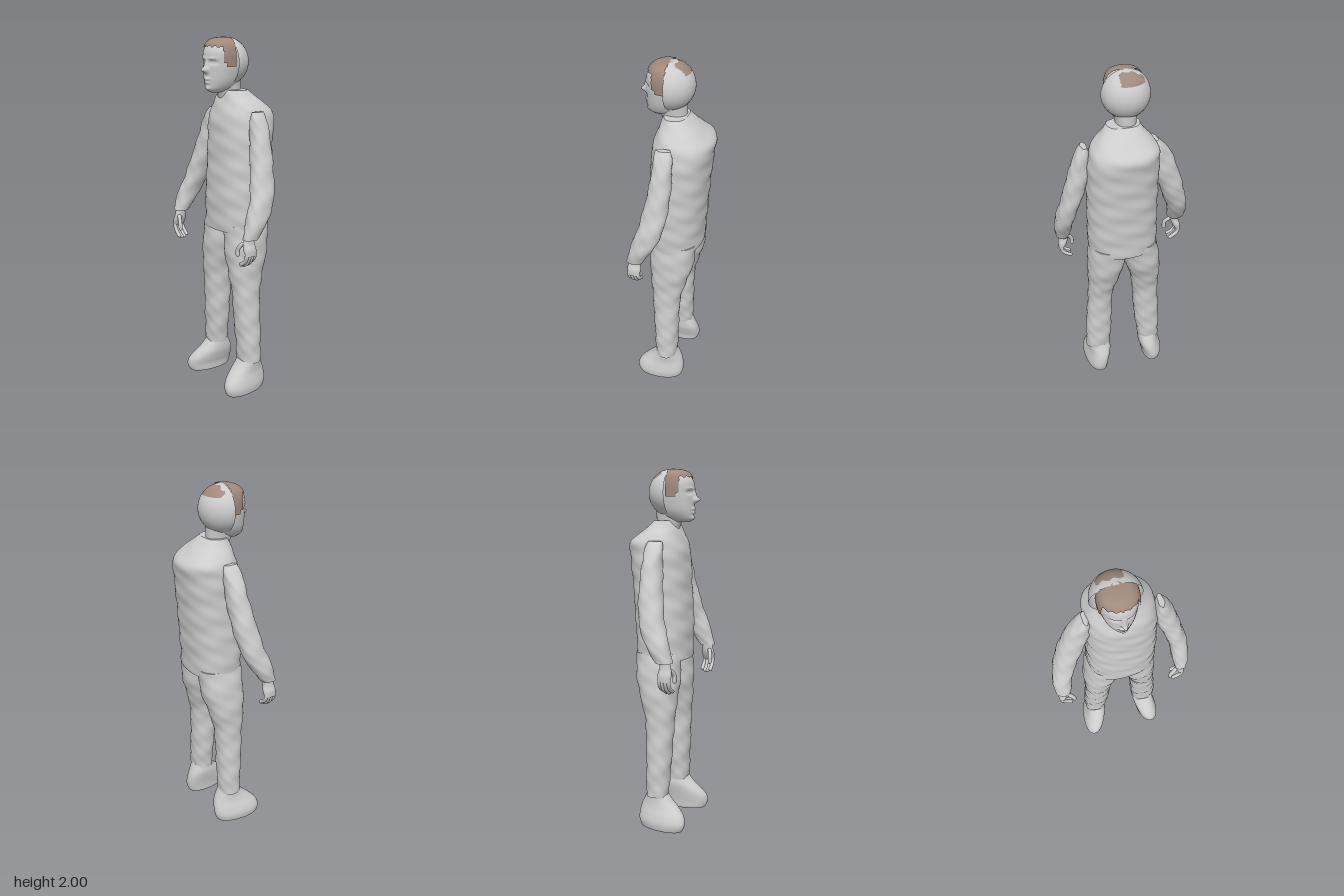
import * as THREE from 'three';

const grey = new THREE.MeshStandardMaterial({ color: 0xcccccc, side: THREE.DoubleSide });
grey.name = 'plain grey';
const brown = new THREE.MeshStandardMaterial({ color: 0x9f8a7c, side: THREE.DoubleSide });
brown.name = 'hair brown';

// Smooth blend through the sections, component by component
function blend(sections, u) {
  const n = sections.length - 1;
  const i = Math.min(Math.floor(u * n), n - 1), t = u * n - i;
  const at = k => sections[Math.max(0, Math.min(n, k))];
  return at(i).map((p1, k) => {
    const p0 = at(i - 1)[k], p2 = at(i + 1)[k], p3 = at(i + 2)[k];
    return p1 + 0.5 * t * (p2 - p0 + t * (2 * p0 - 5 * p1 + 4 * p2 - p3 + t * (3 * (p1 - p2) + p3 - p0)));
  });
}

// Loft through horizontal sections [y, xMin, xMax, zMin, zMax], listed upwards
function loft(name, sections, { power = 2.2, segs = 40, rows = 40, warp, keep, material = grey } = {}) {
  const pos = [], index = [], v = new THREE.Vector3();
  for (let i = 0; i <= rows; i++) {
    const [y, x0, x1, z0, z1] = blend(sections, i / rows);
    for (let j = 0; j < segs; j++) {
      const a = j / segs * Math.PI * 2, c = Math.cos(a), s = Math.sin(a);
      v.set((x0 + x1) / 2 + Math.abs(x1 - x0) / 2 * Math.sign(c) * Math.abs(c) ** (2 / power), y,
        (z0 + z1) / 2 + (z1 - z0) / 2 * Math.sign(s) * Math.abs(s) ** (2 / power));
      if (warp) warp(v, a);
      pos.push(v.x, v.y, v.z);
    }
  }
  const kept = ids => !keep || ids.every(k => keep(pos[k * 3], pos[k * 3 + 1], pos[k * 3 + 2]));
  for (let i = 0; i < rows; i++) for (let j = 0; j < segs; j++) {
    const a = i * segs + j, b = i * segs + (j + 1) % segs, c = a + segs, d = b + segs;
    if (kept([a, b, c, d])) index.push(a, c, b, b, c, d);
  }
  // End caps with their own corners, so the rims stay crisp
  for (const row of [0, rows]) {
    const start = pos.length / 3, mid = [0, 0, 0];
    for (let j = 0; j < segs; j++) for (let k = 0; k < 3; k++) {
      const p = pos[(row * segs + j) * 3 + k];
      pos.push(p);
      mid[k] += p / segs;
    }
    pos.push(...mid);
    if (!kept([start + segs])) continue;
    for (let j = 0; j < segs; j++) {
      const a = start + j, b = start + (j + 1) % segs;
      if (row) index.push(a, start + segs, b); else index.push(a, b, start + segs);
    }
  }
  const g = new THREE.BufferGeometry();
  g.setAttribute('position', new THREE.Float32BufferAttribute(pos, 3));
  g.setIndex(index);
  g.computeVertexNormals();
  const m = new THREE.Mesh(g, material);
  m.name = name;
  return m;
}

// Soft cloth folds
function folds(v, a) {
  const f = 0.0018 * Math.sin(v.y * 43 + 2 * a) + 0.0014 * Math.sin(v.y * 71 - 5 * a);
  v.x += f * Math.cos(a);
  v.z += f * Math.sin(a);
}

// Facial relief: [x, y, depth, width, height]
const relief = [
  [-0.003, 1.833, 0.032, 0.014, 0.014], [-0.005, 1.86, 0.016, 0.010, 0.025],
  [-0.045, 1.872, -0.013, 0.020, 0.011], [0.035, 1.872, -0.013, 0.020, 0.011],
  [-0.045, 1.871, 0.006, 0.011, 0.005], [0.035, 1.871, 0.006, 0.011, 0.005],
  [-0.04, 1.893, 0.006, 0.025, 0.006], [0.03, 1.893, 0.006, 0.025, 0.006],
  [-0.005, 1.786, 0.013, 0.024, 0.007], [-0.005, 1.767, 0.011, 0.020, 0.006],
  [-0.005, 1.735, 0.010, 0.022, 0.012],
];
function faceRelief(v) {
  if (v.z < 0.07) return;
  let dz = 0;
  for (const [x, y, d, w, h] of relief) dz += d * Math.exp(-(((v.x - x) / w) ** 2) - ((v.y - y) / h) ** 2);
  v.z += dz;
}

function buildHead() {
  const head = new THREE.Group();
  head.name = 'head';
  const skull = [
    [1.715, -0.035, 0.02, 0.05, 0.14], [1.735, -0.06, 0.045, 0.0, 0.162], [1.775, -0.085, 0.066, -0.03, 0.167],
    [1.83, -0.098, 0.079, -0.05, 0.168], [1.87, -0.102, 0.083, -0.055, 0.168], [1.92, -0.103, 0.084, -0.05, 0.166],
    [1.955, -0.093, 0.073, -0.035, 0.148], [1.98, -0.066, 0.046, -0.005, 0.115], [1.988, -0.03, 0.01, 0.03, 0.07],
  ];
  head.add(loft('face', skull, { segs: 112, rows: 80, warp: faceRelief }));
  head.add(loft('neck', [
    [1.64, -0.06, 0.05, -0.04, 0.07], [1.69, -0.058, 0.046, -0.045, 0.085],
    [1.73, -0.062, 0.048, -0.045, 0.098], [1.79, -0.07, 0.055, -0.045, 0.1],
  ]));

  // Rounded shell over the back of the head
  const shell = new THREE.Mesh(new THREE.SphereGeometry(0.128, 40, 32, Math.PI, Math.PI), grey);
  shell.name = 'backOfHead';
  shell.rotation.y = Math.PI;
  // Keep the half that bulges backwards
  shell.geometry.computeBoundingBox();
  if (shell.geometry.boundingBox.max.z > 0.06) shell.rotation.y = Math.PI;
  else shell.rotation.y = 0;
  shell.position.set(-0.013, 1.871, 0.045);
  head.add(shell);

  // Front hair with fringe and sideburns
  const hair = skull.slice(2).map(([y, x0, x1, z0, z1]) =>
    [y + (y > 1.95 ? 0.01 : 0), x0 - 0.008, x1 + 0.008, z0, z1 + 0.003]);
  head.add(loft('frontHair', hair, {
    segs: 112, rows: 80, material: brown,
    keep: (x, y, z) => z > 0.042 && y > (z > 0.12 ? 1.95 + 0.005 * Math.sin(x * 190) : z > 0.1 ? 1.87 : 1.85),
  }));
  // Crown patch over the shell
  const crown = [];
  for (let i = 0; i <= 12; i++) {
    const a = Math.PI * (0.02 + 0.28 * (1 - i / 12)), r = 0.13 * Math.sin(a);
    crown.push([1.87 + 0.13 * Math.cos(a), -0.013 - r, -0.013 + r, 0.045 - r, 0.045 + r]);
  }
  head.add(loft('crownHair', crown, {
    power: 2, segs: 80, material: brown,
    keep: (x, y, z) => x > -0.1 && x < 0.036 && y > 1.945 && z < 0.012 + 0.006 * Math.sin(x * 120),
  }));
  return head;
}

// A rounded finger along a curve
function finger(name, points, radius) {
  const g = new THREE.Group();
  g.name = name;
  const curve = new THREE.CatmullRomCurve3(points.map(p => new THREE.Vector3(...p)));
  g.add(new THREE.Mesh(new THREE.TubeGeometry(curve, 12, radius, 10), grey));
  const tip = new THREE.Mesh(new THREE.SphereGeometry(radius, 10, 8), grey);
  tip.position.copy(points.length ? curve.getPoint(1) : tip.position);
  g.add(tip);
  return g;
}

// side is +1 for the model's left, -1 for its right
function buildHand(side) {
  const hand = new THREE.Group();
  hand.name = side > 0 ? 'leftHand' : 'rightHand';
  hand.add(loft('palm', [
    [0.895, side * 0.345, side * 0.372, 0.108, 0.172], [0.93, side * 0.325, side * 0.372, 0.102, 0.178],
    [0.965, side * 0.315, side * 0.362, 0.108, 0.172], [1.02, side * 0.315, side * 0.36, 0.112, 0.158],
  ], { segs: 24, rows: 16 }));
  for (let i = 0; i < 4; i++) {
    const z = 0.115 + i * 0.017, drop = [0.012, 0.002, 0, 0.008][i];
    hand.add(finger('finger', [[side * 0.357, 0.92, z], [side * 0.355, 0.885, z],
      [side * 0.337, 0.85 + drop, z], [side * 0.308, 0.832 + drop, z + 0.002]], 0.0105));
  }
  hand.add(finger('thumb', [[side * 0.335, 0.965, 0.15], [side * 0.305, 0.945, 0.165],
    [side * 0.288, 0.92, 0.172], [side * 0.286, 0.89, 0.172]], 0.0115));
  hand.position.x = side > 0 ? -0.008 : -0.004;
  return hand;
}

export function createModel() {
  const model = new THREE.Group();
  model.name = 'standingMan';
  model.add(buildHead(), buildHand(1), buildHand(-1));

  model.add(loft('shirt', [
    [0.96, -0.172, 0.215, -0.15, 0.14], [1.08, -0.173, 0.218, -0.158, 0.142], [1.2, -0.17, 0.218, -0.166, 0.14],
    [1.32, -0.168, 0.217, -0.175, 0.133], [1.44, -0.168, 0.216, -0.185, 0.128], [1.54, -0.168, 0.212, -0.195, 0.122],
    [1.605, -0.162, 0.198, -0.197, 0.11], [1.65, -0.132, 0.168, -0.15, 0.096], [1.69, -0.1, 0.13, -0.1, 0.08],
    [1.725, -0.08, 0.1, -0.055, 0.065],
  ], { power: 2.35, segs: 64, rows: 90, warp: folds }));

  // Sleeves
  model.add(loft('rightSleeve', [
    [0.995, -0.387, -0.295, 0.092, 0.176], [1.08, -0.387, -0.28, 0.03, 0.155], [1.18, -0.367, -0.245, -0.015, 0.12],
    [1.3, -0.335, -0.2, -0.038, 0.092], [1.42, -0.295, -0.155, -0.045, 0.07], [1.52, -0.255, -0.135, -0.045, 0.058],
    [1.58, -0.212, -0.135, -0.042, 0.052], [1.615, -0.175, -0.148, -0.035, 0.045],
  ], { rows: 60, warp: folds }));
  model.add(loft('leftSleeve', [
    [0.985, 0.302, 0.376, 0.092, 0.176], [1.08, 0.29, 0.387, 0.03, 0.155], [1.18, 0.275, 0.378, -0.015, 0.12],
    [1.3, 0.24, 0.348, -0.038, 0.092], [1.42, 0.205, 0.32, -0.045, 0.07], [1.52, 0.195, 0.29, -0.045, 0.058],
    [1.58, 0.195, 0.268, -0.042, 0.052], [1.625, 0.208, 0.237, -0.035, 0.045],
  ], { rows: 60, warp: folds }));

  // Trousers
  const legDepth = [[0.19, -0.047, 0.077], [0.3, -0.05, 0.082], [0.42, -0.052, 0.09], [0.6, -0.06, 0.1],
    [0.72, -0.088, 0.112], [0.85, -0.125, 0.122], [1.0, -0.138, 0.12]];
  const trouser = (name, widths) => loft(name, legDepth.map(([y, ...z], i) => [y, ...widths[i], ...z]),
    { rows: 70, warp: folds });
  model.add(trouser('rightTrouserLeg', [[-0.217, -0.088], [-0.217, -0.072], [-0.213, -0.06], [-0.203, -0.05],
    [-0.206, -0.03], [-0.198, 0.008], [-0.17, 0.02]]));
  model.add(trouser('leftTrouserLeg', [[0.103, 0.248], [0.093, 0.246], [0.086, 0.238], [0.08, 0.224],
    [0.05, 0.222], [0.014, 0.224], [0.005, 0.212]]));

  // Shoes
  const shoeDepth = [[0.004, -0.06, 0.165], [0.012, -0.075, 0.182], [0.05, -0.088, 0.194], [0.09, -0.088, 0.183],
    [0.13, -0.08, 0.145], [0.165, -0.065, 0.105], [0.205, -0.045, 0.07]];
  const shoe = (name, widths, toeOut) => loft(name, shoeDepth.map(([y, ...z], i) => [y, ...widths[i], ...z]),
    { warp: v => { v.x += toeOut * v.z; } });
  model.add(shoe('rightShoe', [[-0.226, -0.124], [-0.236, -0.116], [-0.242, -0.112], [-0.232, -0.1],
    [-0.216, -0.09], [-0.208, -0.088], [-0.205, -0.09]], -0.1));
  model.add(shoe('leftShoe', [[0.13, 0.235], [0.12, 0.245], [0.116, 0.25], [0.11, 0.244],
    [0.103, 0.236], [0.1, 0.236], [0.107, 0.238]], 0.08));
  return model;
}
